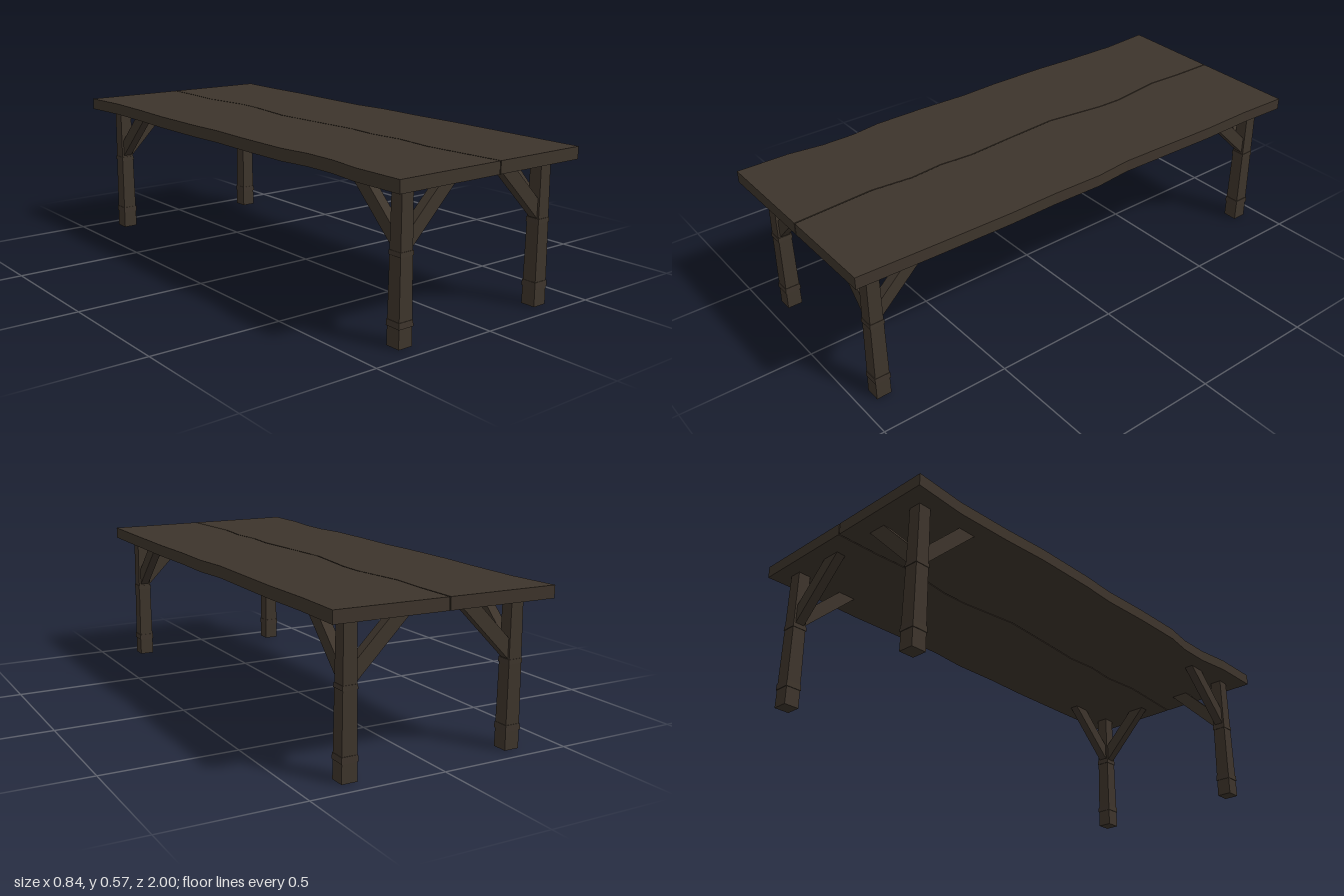
import * as THREE from 'three';

const wood = new THREE.MeshStandardMaterial({ color: 0x3d342b, flatShading: true });
wood.name = 'dark wood';

function addMesh(parent, name, geometry, x = 0, y = 0, z = 0) {
  const mesh = new THREE.Mesh(geometry, wood);
  mesh.name = name;
  mesh.position.set(x, y, z);
  parent.add(mesh);
  return mesh;
}

// Square post standing on y = 0 that narrows from bottom to top
function post(bottom, top, height) {
  return new THREE.CylinderGeometry(top * Math.SQRT1_2, bottom * Math.SQRT1_2, height, 4)
    .rotateY(Math.PI / 4)
    .translate(0, height / 2, 0);
}

// Plank with wavy long edges, outlined in (x, z)
function plank(points) {
  const shape = new THREE.Shape(points.map(([x, z]) => new THREE.Vector2(x, z)));
  return new THREE.ExtrudeGeometry(shape, { depth: 0.045, bevelEnabled: false }).rotateX(Math.PI / 2);
}

// Diagonal brace: 'run' is the horizontal distance from the post face
function brace(run, low, high, width) {
  const shape = new THREE.Shape([
    new THREE.Vector2(0, low), new THREE.Vector2(run, 0.532),
    new THREE.Vector2(run - width, 0.532), new THREE.Vector2(0, high),
  ]);
  const depth = 0.036;
  return new THREE.ExtrudeGeometry(shape, { depth, bevelEnabled: false }).translate(0, 0, -depth / 2);
}

export function createModel() {
  const table = new THREE.Group();
  table.name = 'table';

  // Table top: two planks meeting along a wandering seam
  const leftEdge = [[-0.42, -1], [-0.405, -0.8], [-0.41, -0.58], [-0.42, -0.4], [-0.42, -0.15], [-0.413, 0],
    [-0.42, 0.2], [-0.42, 0.41], [-0.402, 0.53], [-0.402, 0.66], [-0.42, 0.8], [-0.42, 1]];
  const seam = [[-0.003, -0.992], [-0.004, -0.82], [-0.012, -0.68], [0.015, -0.47], [0.013, -0.37], [-0.018, -0.13],
    [-0.004, 0.1], [0.008, 0.27], [-0.002, 0.4], [0.01, 0.53], [-0.005, 0.69], [0.016, 1]];
  const rightEdge = [[0.417, -0.985], [0.41, -0.78], [0.413, -0.57], [0.408, -0.38], [0.402, -0.15], [0.416, 0],
    [0.412, 0.2], [0.416, 0.4], [0.412, 0.7], [0.406, 1]];
  const shift = (edge, dx) => edge.map(([x, z]) => [x + dx, z]);
  addMesh(table, 'rightPlank', plank([...leftEdge, ...shift(seam, -0.002).reverse()]), 0, 0.575, 0);
  addMesh(table, 'leftPlank', plank([...shift(seam, 0.002), ...rightEdge.slice().reverse()]), 0, 0.575, 0);

  // Four legs, each with two collars and two braces reaching inwards
  for (const sx of [-1, 1]) {
    for (const sz of [-1, 1]) {
      const leg = new THREE.Group();
      leg.name = `${sz > 0 ? 'front' : 'back'}${sx > 0 ? 'Left' : 'Right'}Leg`;
      leg.position.set(sx * 0.323, 0, sz * 0.908);
      table.add(leg);
      addMesh(leg, 'post', post(0.058, 0.048, 0.532));
      addMesh(leg, 'lowerCollar', post(0.062, 0.06, 0.022), 0, 0.068, 0);
      addMesh(leg, 'upperCollar', post(0.057, 0.055, 0.016), 0, 0.304, 0);

      const crossBrace = addMesh(leg, 'crossBrace', brace(0.212, 0.32, 0.392, 0.072), -sx * 0.024, 0, 0);
      crossBrace.rotation.y = sx > 0 ? Math.PI : 0;
      const longBrace = addMesh(leg, 'longBrace', brace(0.215, 0.325, 0.392, 0.072), 0, 0, -sz * 0.024);
      longBrace.rotation.y = sz * Math.PI / 2;
    }
  }
  return table;
}
